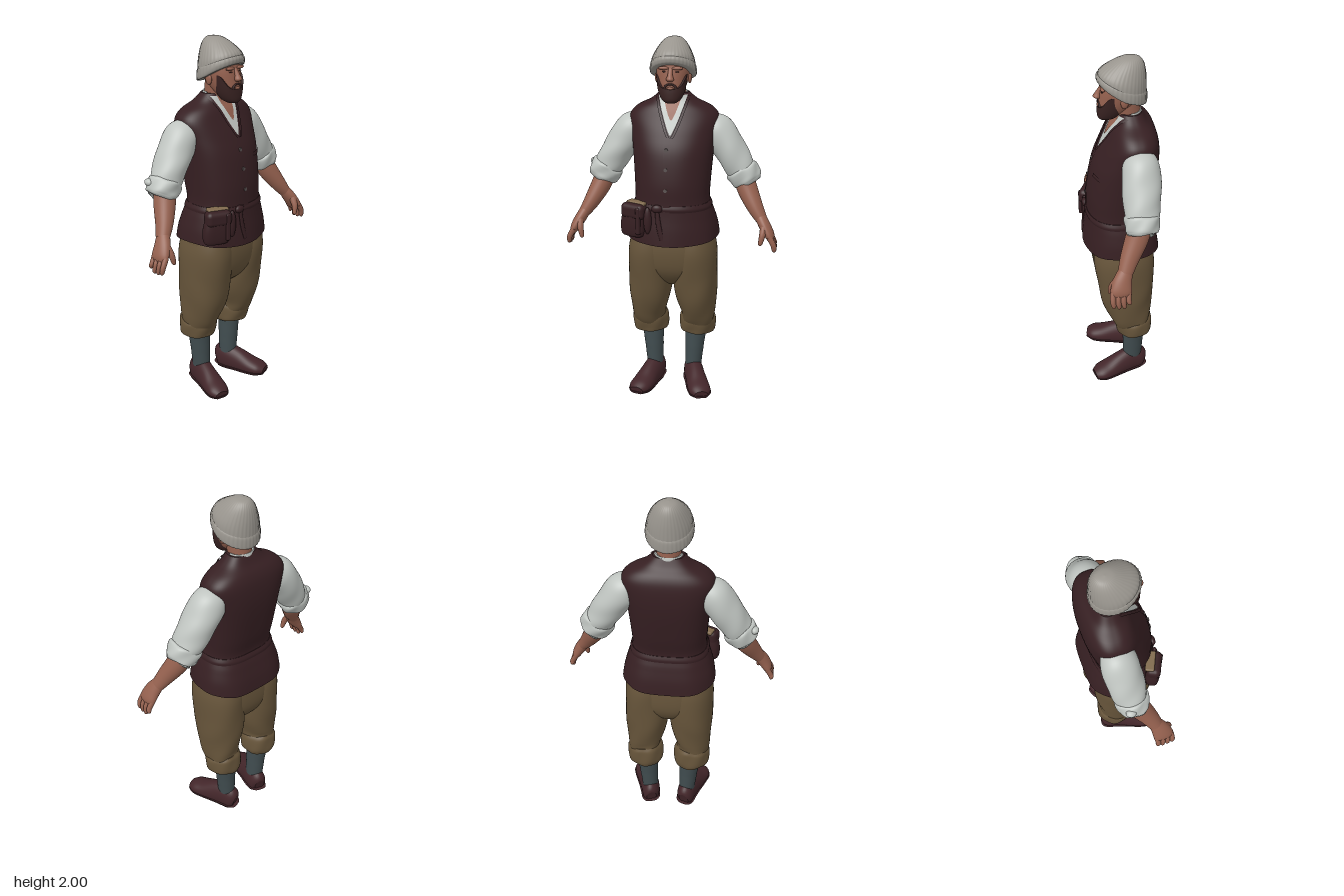
import * as THREE from 'three';
import { RoundedBoxGeometry } from 'three/addons/geometries/RoundedBoxGeometry.js';

const mat = (name, color) => Object.assign(new THREE.MeshStandardMaterial({ color, side: THREE.DoubleSide }), { name });
const M = {
  vest: mat('dark brown wool', 0x361f22),
  trousers: mat('olive brown cloth', 0x66543a),
  shirt: mat('off-white linen', 0xc0c5c1),
  skin: mat('skin', 0x95614f),
  hat: mat('grey knit', 0x99958e),
  hair: mat('dark brown hair', 0x392322),
  sock: mat('slate sock', 0x414d50),
  shoe: mat('dark red leather', 0x43262a),
  tan: mat('tan leather', 0x806a4d),
  metal: mat('button grey', 0x5c5453),
};

// Smooth interpolation through rows of numbers, v from 0 to 1
function sample(rows, v) {
  const f = v * (rows.length - 1), i = Math.min(Math.floor(f), rows.length - 2), t = f - i;
  const at = (k) => rows[Math.max(0, Math.min(rows.length - 1, k))];
  const [a, b, c, d] = [at(i - 1), at(i), at(i + 1), at(i + 2)];
  return b.map((p, j) => p + 0.5 * t * (c[j] - a[j] + t * (2 * a[j] - 5 * p + 4 * c[j] - d[j]
    + t * (3 * (p - c[j]) + d[j] - a[j]))));
}

// Capped skin over rows [x, y, z, half width, half depth towards ref]
function loft(rows, { ref = [0, 0, 1], n = 2, nBack = n, segs = 32, steps = 5, ripple, warp, flat = false } = {}) {
  const N = (rows.length - 1) * steps, pos = [], idx = [];
  const secs = Array.from({ length: N + 1 }, (_, r) => sample(rows, r / N));
  const vec = (s) => new THREE.Vector3(s[0], s[1], s[2]);
  const rings = secs.map((s, r) => {
    const T = flat ? new THREE.Vector3(0, 1, 0)
      : vec(secs[Math.min(N, r + 1)]).sub(vec(secs[Math.max(0, r - 1)])).normalize();
    const A = new THREE.Vector3(...ref);
    A.addScaledVector(T, -A.dot(T)).normalize();
    const B = T.clone().cross(A);
    return Array.from({ length: segs }, (_, i) => {
      const t = (i / segs) * Math.PI * 2, c = Math.cos(t), d = Math.sin(t);
      const k = ripple ? ripple(t, r / N) : 1, e = 2 / (d < 0 ? nBack : n);
      const p = vec(s).addScaledVector(B, Math.sign(c) * Math.abs(c) ** e * s[3] * k)
        .addScaledVector(A, Math.sign(d) * Math.abs(d) ** e * s[4] * k);
      if (warp) warp(p, t, r / N);
      return p;
    });
  });
  const put = (p) => pos.push(p.x, p.y, p.z);
  rings.forEach((ring) => ring.forEach(put));
  for (let r = 0; r < N; r++) for (let i = 0; i < segs; i++) {
    const j = (i + 1) % segs, a = r * segs + i, b = r * segs + j;
    idx.push(a, a + segs, b, b, a + segs, b + segs);
  }
  for (const end of [0, N]) {
    const base = pos.length / 3, mid = new THREE.Vector3();
    rings[end].forEach((p) => { put(p); mid.addScaledVector(p, 1 / segs); });
    put(mid);
    for (let i = 0; i < segs; i++) {
      const a = base + i, b = base + (i + 1) % segs;
      idx.push(base + segs, ...(end ? [b, a] : [a, b]));
    }
  }
  const g = new THREE.BufferGeometry();
  g.setAttribute('position', new THREE.Float32BufferAttribute(pos, 3));
  g.setIndex(idx);
  g.computeVertexNormals();
  return g;
}

// Vest body; rows are y, half width, front z, back z
const torso = [
  [0.935, 0.255, 0.205, -0.205], [1.0, 0.245, 0.198, -0.192], [1.07, 0.225, 0.188, -0.168], [1.14, 0.203, 0.182, -0.147],
  [1.25, 0.206, 0.178, -0.168], [1.4, 0.218, 0.152, -0.19], [1.5, 0.231, 0.112, -0.196], [1.58, 0.241, 0.07, -0.188],
  [1.63, 0.203, 0.045, -0.168], [1.67, 0.125, 0.02, -0.133], [1.71, 0.08, 0.008, -0.108],
].map(([y, w, f, b]) => [0, y, (f + b) / 2, w, (f - b) / 2]);
const TN = 2.2, TBACK = 2.8;

function torsoAt(y) {
  let lo = 0, hi = 1;
  for (let i = 0; i < 24; i++) { const m = (lo + hi) / 2; if (sample(torso, m)[1] < y) lo = m; else hi = m; }
  return sample(torso, lo);
}
function frontZ(x, y) {
  const s = torsoAt(y);
  return s[2] + s[4] * (1 - Math.min(1, Math.abs(x / s[3])) ** TN) ** (1 / TN);
}
// Thin panel that follows the vest front between two side edges
function patch(y0, y1, left, right, lift) {
  const g = new THREE.PlaneGeometry(1, 1, 12, 20), p = g.attributes.position;
  for (let i = 0; i < p.count; i++) {
    const u = p.getX(i) + 0.5, v = p.getY(i) + 0.5, y = y0 + (y1 - y0) * v;
    const x = left(v) + (right(v) - left(v)) * u;
    p.setXYZ(i, x, y, frontZ(x, y) + lift);
  }
  g.computeVertexNormals();
  return g;
}

export function createModel() {
  const root = new THREE.Group();
  root.name = 'man';
  const add = (name, geo, m, place) => {
    const mesh = new THREE.Mesh(geo, m);
    mesh.name = name;
    if (place) mesh.position.set(...place);
    root.add(mesh);
    return mesh;
  };
  const ball = (name, m, place, scale) => add(name, new THREE.SphereGeometry(1, 20, 14), m, place).scale.set(...scale);

  // Vest with neck opening, lapels, placket, pocket and buttons
  add('vest', loft(torso, {
    n: TN, nBack: TBACK, segs: 64, flat: true,
    ripple: (t, v) => 1 + 0.01 * Math.sin(7 * t + 3) * Math.max(0, 1 - v * 2.5),
    warp: (p, t, v) => { p.y -= 0.022 * Math.sin(t) ** 2 * Math.max(0, 1 - v * 5); },
  }), M.vest);
  const neckline = (v) => 0.078 * v ** 0.8;
  add('shirtFront', patch(1.5, 1.7, (v) => -neckline(v), neckline, 0.005), M.shirt);
  add('chest', patch(1.575, 1.7, (v) => -0.05 * v ** 0.7, (v) => 0.05 * v ** 0.7, 0.009), M.skin);
  for (const s of [-1, 1])
    add('lapel', patch(1.49, 1.695, (v) => s * (neckline(v) + 0.008) - 0.008, (v) => s * (neckline(v) + 0.008) + 0.008, 0.01), M.vest);
  add('placket', patch(0.95, 1.49, () => -0.03, () => 0.008, 0.004), M.vest);
  add('chestPocket', patch(1.375, 1.395, () => 0.08, () => 0.17, 0.005), M.vest);
  for (const y of [1.22, 1.33, 1.43])
    add('button', new THREE.CylinderGeometry(0.01, 0.01, 0.008, 14).rotateX(Math.PI / 2), M.metal, [-0.016, y, frontZ(0, y) + 0.004]);
  const beltRows = [1.1, 1.115, 1.135].map((y, i) => {
    const s = torsoAt(y), k = i === 1 ? 0.007 : 0.002;
    return [0, y, s[2], s[3] + k, s[4] + k];
  });
  add('belt', loft(beltRows, { n: TN, nBack: TBACK, segs: 64, flat: true }), M.vest);
  ball('beltKnot', M.vest, [-0.06, 1.12, 0.185], [0.03, 0.022, 0.016]);
  add('beltEnd', loft([[-0.06, 1.12, 0.188, 0.01, 0.008], [-0.05, 1.03, 0.196, 0.014, 0.007], [-0.03, 0.95, 0.202, 0.012, 0.006]]), M.vest);

  // Belt pouch: sagging bag, flap and tan lining behind
  const pouch = new THREE.Group();
  pouch.name = 'pouch';
  pouch.position.set(-0.187, 1.05, 0.145);
  pouch.rotation.y = -0.45;
  const part = (name, geo, m, x, y, z) => {
    const b = new THREE.Mesh(geo, m);
    b.name = name;
    b.position.set(x, y, z);
    pouch.add(b);
  };
  const box = (w, h, d) => new RoundedBoxGeometry(w, h, d, 3, Math.min(w, h, d) * 0.35);
  part('pouchBody', loft([
    [-0.01, -0.1, 0, 0.045, 0.02], [-0.01, -0.085, 0, 0.068, 0.036], [-0.008, -0.02, 0, 0.073, 0.041], [0, 0.06, 0, 0.062, 0.034], [0, 0.085, 0, 0.055, 0.025],
  ], { n: 3, flat: true }), M.vest, 0, 0, 0);
  part('pouchFlap', box(0.142, 0.085, 0.078), M.vest, 0, 0.045, 0.004);
  part('pouchLining', box(0.115, 0.022, 0.05), M.tan, 0.005, 0.084, -0.018);
  part('pouchStrap', box(0.025, 0.15, 0.088), M.vest, 0.045, 0, 0.002);
  root.add(pouch);
  ball('pouchTie', M.vest, [-0.112, 1.05, 0.18], [0.022, 0.075, 0.018]);

  // Hips
  add('trouserSeat', loft([[0, 0.965, -0.002, 0.225, 0.15], [0, 0.86, -0.004, 0.238, 0.163], [0, 0.76, -0.012, 0.215, 0.155], [0, 0.69, -0.016, 0.13, 0.12], [0, 0.645, -0.018, 0.06, 0.07]],
    { n: 2.5, segs: 48 }), M.trousers);

  for (const s of [-1, 1]) {
    const side = (rows) => rows.map(([x, ...r]) => [s * x, ...r]);
    // Breeches, rolled cuff, sock and shoe
    add('trouserLeg', loft(side([
      [0.115, 0.965, -0.003, 0.1, 0.145], [0.124, 0.85, -0.005, 0.122, 0.165], [0.125, 0.7, -0.015, 0.124, 0.157],
      [0.131, 0.58, -0.022, 0.117, 0.144], [0.142, 0.47, -0.038, 0.098, 0.118], [0.14, 0.41, -0.053, 0.09, 0.1],
    ]), { n: 2.2, segs: 48, steps: 8, ripple: (t, v) => 1 + 0.025 * v * Math.sin(4 * t + s * v * 12) }), M.trousers);
    add('trouserCuff', loft(side([
      [0.14, 0.44, -0.052, 0.085, 0.1], [0.138, 0.415, -0.055, 0.1, 0.108], [0.136, 0.37, -0.062, 0.104, 0.105],
      [0.134, 0.338, -0.065, 0.1, 0.1], [0.134, 0.33, -0.065, 0.085, 0.088],
    ]), { segs: 48, ripple: (t, v) => 1 + 0.02 * Math.sin(6 * t + 5 * v) }), M.trousers);
    add('sock', loft(side([[0.128, 0.36, -0.068, 0.064, 0.066], [0.12, 0.24, -0.062, 0.055, 0.06], [0.113, 0.1, -0.06, 0.046, 0.054]]),
      { ripple: (t, v) => 1 + 0.012 * Math.sin(v * 40 + t) }), M.sock);
    const shoeRows = side([
      [0.098, 0.045, -0.128, 0.03, 0.045], [0.104, 0.05, -0.108, 0.048, 0.078], [0.114, 0.055, -0.055, 0.055, 0.087],
      [0.134, 0.045, 0.01, 0.057, 0.077], [0.158, 0.032, 0.085, 0.063, 0.055], [0.177, 0.027, 0.14, 0.06, 0.04], [0.187, 0.022, 0.175, 0.038, 0.024],
    ]);
    add('shoe', loft(shoeRows, { ref: [0, 1, 0], warp: (p) => { p.y = Math.max(0, p.y); } }), M.shoe);
    add('shoeSole', loft(shoeRows.map(([x, y, z, a, b]) => [x, y, z, a + 0.004, b]),
      { ref: [0, 1, 0], n: 2.6, warp: (p) => { p.y = Math.min(0.016, Math.max(0, p.y)); } }), M.shoe);

    // Sleeve with rolled cuff, forearm and hand
    add('sleeve', loft(side([
      [0.18, 1.545, -0.075, 0.055, 0.07], [0.228, 1.505, -0.073, 0.09, 0.094], [0.29, 1.42, -0.068, 0.088, 0.099],
      [0.345, 1.33, -0.06, 0.083, 0.092], [0.385, 1.26, -0.055, 0.076, 0.08],
    ]), { segs: 40, steps: 8, ripple: (t, v) => 1 + 0.03 * v * Math.sin(3 * t + 16 * v) }), M.shirt);
    add('sleeveCuff', loft(side([
      [0.362, 1.3, -0.057, 0.078, 0.084], [0.37, 1.287, -0.056, 0.09, 0.091], [0.39, 1.255, -0.053, 0.088, 0.087],
      [0.404, 1.232, -0.05, 0.08, 0.08], [0.405, 1.23, -0.05, 0.06, 0.06],
    ]), { segs: 40, ripple: (t, v) => 1 + 0.035 * Math.sin(5 * t + 7 * v) }), M.shirt);
    add('forearm', loft(side([
      [0.375, 1.27, -0.055, 0.055, 0.06], [0.405, 1.19, -0.025, 0.055, 0.06], [0.45, 1.105, 0.018, 0.044, 0.049], [0.488, 1.045, 0.045, 0.032, 0.039],
    ])), M.skin);
    add('palm', loft(side([
      [0.48, 1.06, 0.04, 0.03, 0.036], [0.51, 1.01, 0.063, 0.031, 0.049], [0.536, 0.965, 0.074, 0.026, 0.055], [0.544, 0.94, 0.076, 0.016, 0.048],
    ])), M.skin);
    for (let i = 0; i < 4; i++) {
      const z = 0.034 + i * 0.027, tip = 0.878 + (i === 0 ? 0.02 : 0) + (i === 3 ? 0.006 : 0);
      add('finger', loft(side([
        [0.535, 0.965, z, 0.016, 0.015], [0.558, 0.925, z + 0.004, 0.015, 0.014], [0.563, tip + 0.012, z, 0.013, 0.012], [0.56, tip, z - 0.001, 0.006, 0.006],
      ]), { segs: 12 }), M.skin);
    }
    add('thumb', loft(side([
      [0.505, 1.02, 0.085, 0.02, 0.022], [0.498, 0.975, 0.115, 0.017, 0.018], [0.489, 0.932, 0.124, 0.012, 0.012], [0.487, 0.92, 0.124, 0.006, 0.006],
    ]), { segs: 14 }), M.skin);

    // Ear and narrowed eye
    ball('ear', M.skin, [s * 0.087, 1.79, -0.012], [0.011, 0.03, 0.02]);
    ball('eye', M.hair, [s * 0.034, 1.832, 0.093], [0.011, 0.003, 0.005]);
    ball('brow', M.skin, [s * 0.036, 1.85, 0.09], [0.03, 0.009, 0.012]);
  }
  ball('sleeveKnot', M.shirt, [-0.452, 1.305, -0.085], [0.024, 0.02, 0.028]);

  // Neck, shirt collar and head
  add('neck', loft([[0, 1.58, -0.055, 0.066, 0.066], [0, 1.68, -0.045, 0.062, 0.064], [0, 1.78, -0.03, 0.064, 0.07]]), M.skin);
  add('shirtCollar', loft([[0, 1.66, -0.05, 0.08, 0.066], [0, 1.7, -0.05, 0.076, 0.064], [0, 1.718, -0.05, 0.07, 0.06]],
    { warp: (p, t, v) => { p.y -= 0.1 * v * Math.max(0, Math.sin(t)); } }), M.shirt);
  add('head', loft([
    [0, 1.68, 0.06, 0.03, 0.035], [0, 1.7, 0.05, 0.048, 0.055], [0, 1.74, 0.025, 0.068, 0.085],
    [0, 1.79, 0.0, 0.083, 0.105], [0, 1.84, -0.008, 0.088, 0.106], [0, 1.91, -0.015, 0.08, 0.1],
  ], { n: 2.2, segs: 40, flat: true }), M.skin);
  add('nose', loft([[0, 1.85, 0.092, 0.01, 0.008], [0, 1.815, 0.108, 0.014, 0.016], [0, 1.795, 0.115, 0.021, 0.02], [0, 1.783, 0.108, 0.012, 0.01]],
    { segs: 16, flat: true }), M.skin);

  // Beard rising into sideburns, moustache and lip
  add('beard', loft([
    [0, 1.67, 0.073, 0.028, 0.03], [0, 1.685, 0.064, 0.05, 0.05], [0, 1.715, 0.052, 0.071, 0.063], [0, 1.745, 0.048, 0.082, 0.065],
  ], { n: 2.2, segs: 40, flat: true, warp: (p, t, v) => { p.y += 0.075 * v * v * (Math.abs(p.x) / 0.083) ** 4; } }), M.hair);
  add('moustache', new THREE.TorusGeometry(0.03, 0.007, 8, 20, Math.PI).scale(1, 0.75, 0.9), M.hair, [0, 1.747, 0.106]);
  ball('lip', M.skin, [0, 1.749, 0.11], [0.018, 0.007, 0.007]);

  // Knitted cap with vertical ribs and a turned-up edge, higher over the brow
  const tilt = (p) => {
    const z = p.z + 0.01;
    p.y += z * (z > 0 ? 0.58 : 0.42) * Math.max(0, Math.min(1, (1.99 - p.y) / 0.17));
  };
  const rib = (t) => 1 + 0.008 * Math.cos(36 * t);
  add('cap', loft([
    [0, 1.815, -0.01, 0.118, 0.123], [0, 1.88, -0.014, 0.113, 0.12], [0, 1.93, -0.026, 0.093, 0.105],
    [0, 1.97, -0.042, 0.066, 0.078], [0, 1.993, -0.052, 0.036, 0.044], [0, 2.0, -0.054, 0.002, 0.002],
  ], { segs: 144, flat: true, ripple: rib, warp: tilt }), M.hat);
  add('capEdge', loft([
    [0, 1.806, -0.01, 0.113, 0.118], [0, 1.811, -0.01, 0.121, 0.126], [0, 1.83, -0.01, 0.123, 0.128], [0, 1.855, -0.012, 0.119, 0.125], [0, 1.865, -0.012, 0.112, 0.119],
  ], { segs: 144, flat: true, ripple: rib, warp: tilt }), M.hat);

  return root;
}
